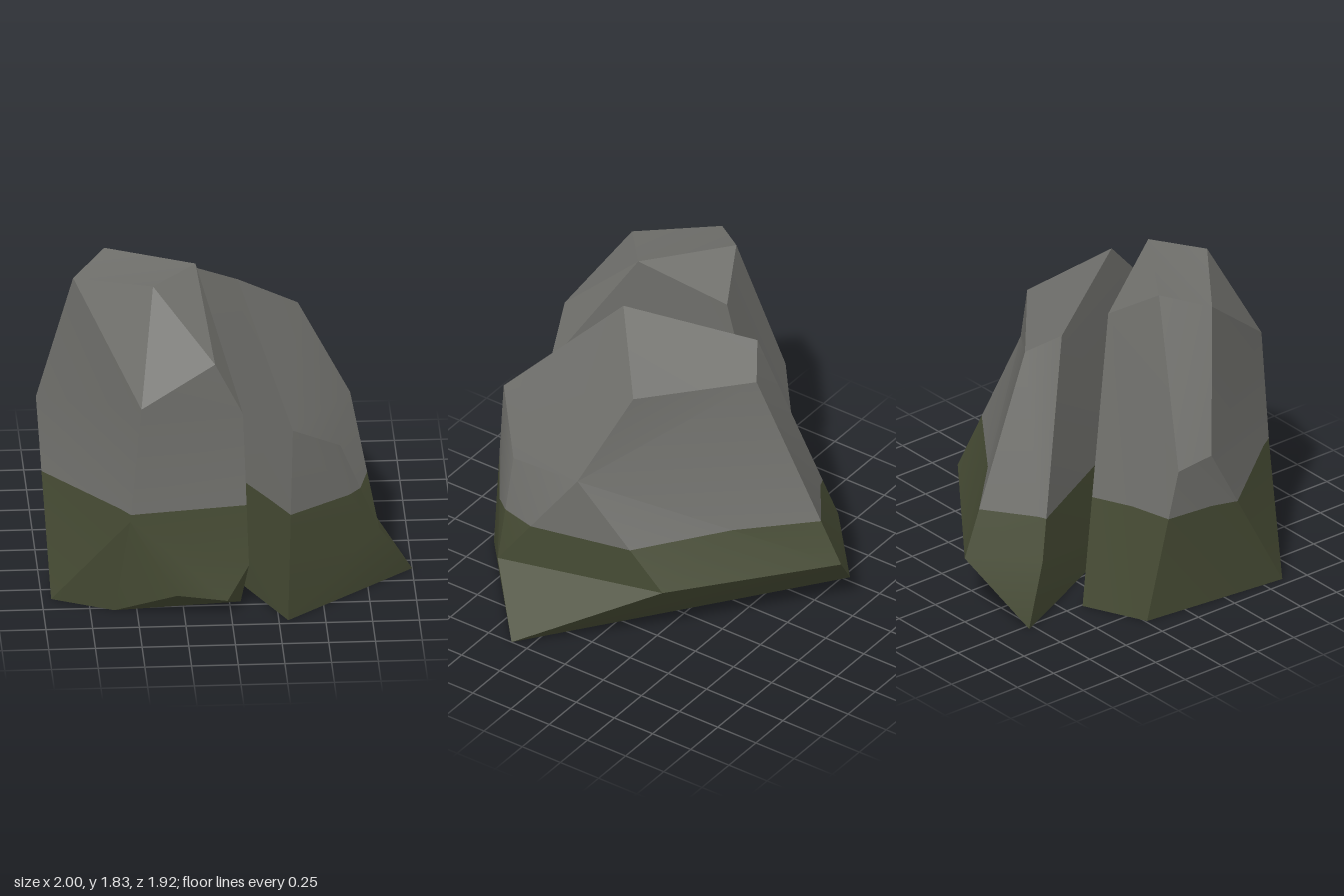
import * as THREE from 'three';
import { toCreasedNormals } from 'three/addons/utils/BufferGeometryUtils.js';

const MOSS_LINE = 0.6;
const SOFT_ANGLE = 0.44;

// Closed faceted surface from corners and polygons; each triangle is turned to face outwards
function facetedSurface(corners, polygons) {
  const pts = corners.map((c) => new THREE.Vector3(...c));
  const centre = new THREE.Vector3();
  pts.forEach((p) => centre.addScaledVector(p, 1 / pts.length));
  const triangle = new THREE.Triangle();
  const normal = new THREE.Vector3();
  const out = [];
  for (const poly of polygons) {
    for (let k = 1; k + 1 < poly.length; k++) {
      const [a, b, c] = [pts[poly[0]], pts[poly[k]], pts[poly[k + 1]]];
      triangle.set(a, b, c).getNormal(normal);
      const outward = normal.dot(a.clone().sub(centre)) > 0;
      for (const p of outward ? [a, b, c] : [a, c, b]) out.push(p.x, p.y, p.z);
    }
  }
  const geometry = new THREE.BufferGeometry();
  geometry.setAttribute('position', new THREE.Float32BufferAttribute(out, 3));
  return toCreasedNormals(geometry, SOFT_ANGLE);
}

// Keep the part of a surface above (side = 1) or below (side = -1) a height
function clipSurface(geometry, height, side) {
  const pos = geometry.getAttribute('position');
  const nor = geometry.getAttribute('normal');
  const positions = [];
  const normals = [];
  for (let i = 0; i < pos.count; i += 3) {
    const tri = [0, 1, 2].map((k) => ({
      p: new THREE.Vector3().fromBufferAttribute(pos, i + k),
      n: new THREE.Vector3().fromBufferAttribute(nor, i + k),
    }));
    const poly = [];
    tri.forEach((a, k) => {
      const b = tri[(k + 1) % 3];
      const da = (a.p.y - height) * side;
      const db = (b.p.y - height) * side;
      if (da >= 0) poly.push(a);
      if (da * db < 0) {
        const t = da / (da - db);
        poly.push({ p: a.p.clone().lerp(b.p, t), n: a.n.clone().lerp(b.n, t).normalize() });
      }
    });
    for (let k = 1; k + 1 < poly.length; k++) {
      for (const v of [poly[0], poly[k], poly[k + 1]]) {
        positions.push(...v.p.toArray());
        normals.push(...v.n.toArray());
      }
    }
  }
  const part = new THREE.BufferGeometry();
  part.setAttribute('position', new THREE.Float32BufferAttribute(positions, 3));
  part.setAttribute('normal', new THREE.Float32BufferAttribute(normals, 3));
  return part;
}

export function createModel() {
  const stone = new THREE.MeshStandardMaterial({ color: 0x6e6e6a });
  stone.name = 'stone grey';
  const moss = new THREE.MeshStandardMaterial({ color: 0x454a33 });
  moss.name = 'moss green';

  // One half of the boulder: bare stone above, mossy foot below
  function rockHalf(name, corners, polygons) {
    const surface = facetedSurface(corners, polygons);
    const half = new THREE.Group();
    half.name = name;
    const upper = new THREE.Mesh(clipSurface(surface, MOSS_LINE, 1), stone);
    upper.name = 'bareStone';
    const lower = new THREE.Mesh(clipSurface(surface, MOSS_LINE, -1), moss);
    lower.name = 'mossyFoot';
    half.add(upper, lower);
    return half;
  }

  const model = new THREE.Group();
  model.name = 'splitBoulder';

  model.add(rockHalf('rightHalf', [
    // 0-4 base
    [-0.95, 0, 0.62], [-0.62, 0, 0.78], [0.06, 0, 0.71], [-0.51, 0, -0.4], [-0.86, 0, -0.24],
    // 5-8 lower front bulge
    [-0.29, 0.13, 0.895], [-0.02, 0.09, 0.89], [0.1, 0.25, 0.79], [-0.54, 0.56, 0.865],
    // 9-13 shoulders
    [-1, 0.95, 0.09], [-0.93, 0.88, -0.08], [-0.48, 1.22, 0.86], [0.07, 1.13, 0.755], [-0.08, 1.43, 0.765],
    // 14-18 crown
    [-0.81, 1.72, 0.25], [-0.63, 1.79, 0.03], [-0.4, 1.8, 0.55], [-0.16, 1.83, 0.34], [-0.36, 1.61, -0.1],
  ], [
    [0, 1, 2, 3, 4], // underside
    [3, 2, 7, 12, 17, 18], [12, 13, 17], // split face
    [8, 0, 1, 5], [5, 1, 2, 6], [2, 6, 7], [8, 5, 6, 7, 12, 11], // lower front
    [11, 12, 13], [16, 11, 13], [16, 13, 17], [14, 11, 16], // upper front
    [0, 8, 9], [9, 8, 11], [9, 11, 14], [0, 9, 10], [0, 10, 4], [14, 15, 10, 9], // outer side
    [4, 18, 3], [4, 10, 18], [10, 15, 18], // back
    [14, 15, 17, 16], [15, 18, 17], // top
  ]));

  model.add(rockHalf('leftHalf', [
    // 0-2 base
    [0.3, 0, 0.96], [1, 0, 0.35], [-0.53, 0, -0.785],
    // 3-6 lower bulge
    [-0.54, 0.38, -0.7], [0.81, 0.35, 0.575], [0.6, 0.38, -0.355], [-0.2, 0.35, -0.96],
    // 7-9 shoulders
    [0.33, 1.08, 0.875], [0.6, 0.865, 0.62], [0.68, 0.955, 0.145],
    // 10-13 crown
    [0.07, 1.7, 0.275], [0.41, 1.41, -0.03], [-0.28, 1.53, -0.355], [-0.11, 1.4, -0.47],
  ], [
    [0, 1, 2], // underside
    [0, 7, 10, 12, 3, 2], // split face
    [0, 1, 4], [4, 8, 7, 0], [4, 8, 9], // front
    [1, 4, 5], [4, 5, 9], // outer side
    [7, 8, 9, 11, 10], [10, 11, 13, 12], // top slopes
    [1, 2, 6, 5], [5, 6, 9], [9, 6, 13], [9, 13, 11], // back
    [2, 3, 6], [3, 6, 13, 12], // narrow end
  ]));

  return model;
}
